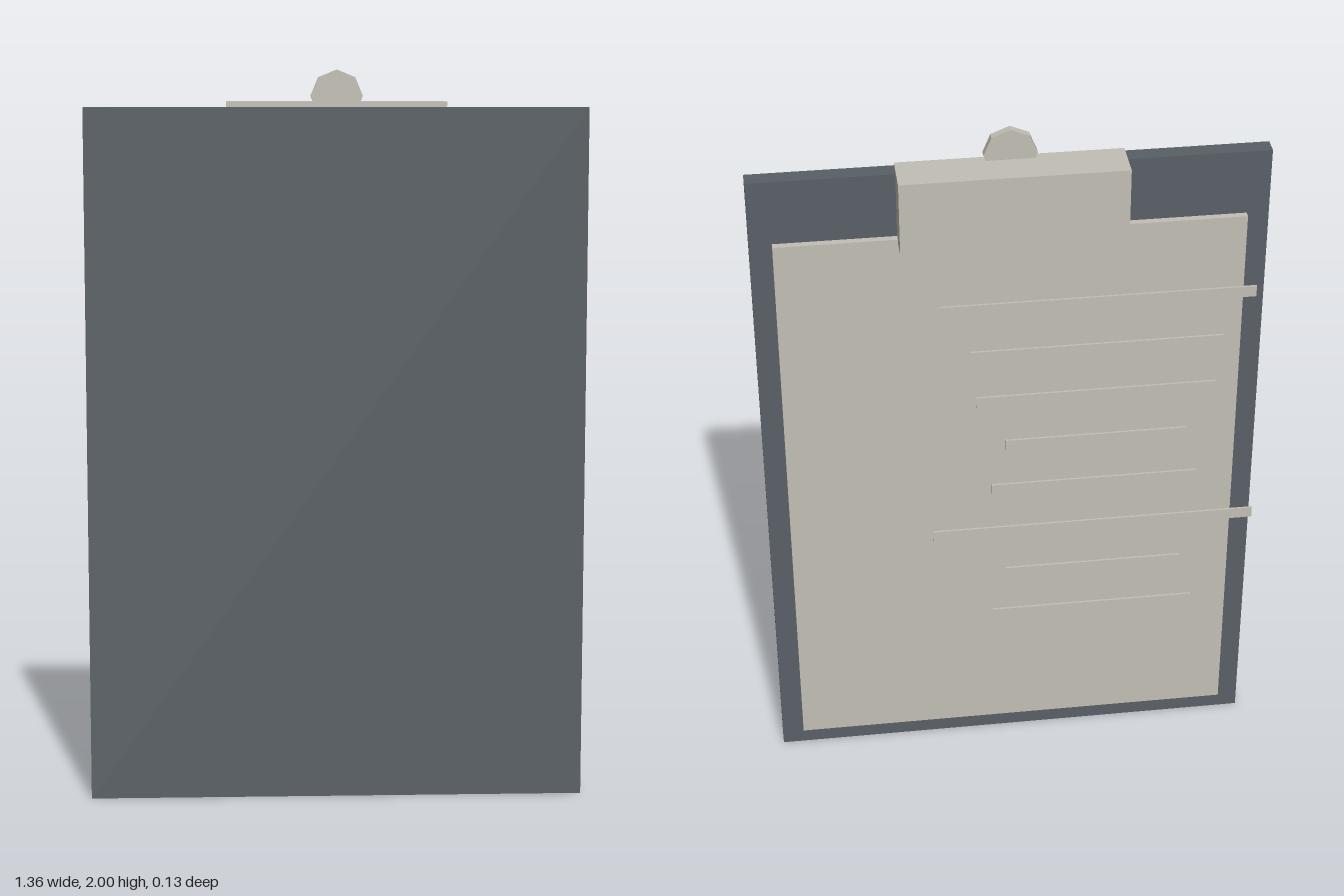
import * as THREE from 'three';

export function createModel() {
  const model = new THREE.Group();
  model.name = 'clipboard';

  const slate = new THREE.MeshStandardMaterial({ color: 0x596066 });
  slate.name = 'slate';
  const paleGrey = new THREE.MeshStandardMaterial({ color: 0xc2bfb5 });
  paleGrey.name = 'paleGrey';

  const add = (name, geometry, material) => {
    const mesh = new THREE.Mesh(geometry, material);
    mesh.name = name;
    model.add(mesh);
    return mesh;
  };

  // Box given by its lower and upper limits on each axis
  const box = (name, material, [x0, x1], [y0, y1], [z0, z1]) =>
    add(name, new THREE.BoxGeometry(x1 - x0, y1 - y0, z1 - z0), material)
      .position.set((x0 + x1) / 2, (y0 + y1) / 2, (z0 + z1) / 2);

  // Backing board and the sheet on its rear side
  box('board', slate, [-0.68, 0.68], [0, 1.9], [0.0185, 0.065]);
  box('paper', paleGrey, [-0.62, 0.62], [0.06, 1.72], [-0.004, 0.015]);

  // Clip body straddling the top edge
  box('clip', paleGrey, [-0.297, 0.297], [1.71, 1.915], [-0.065, 0.052]);

  // Eight-sided hanging tab
  const tab = new THREE.CylinderGeometry(0.07, 0.07, 0.022, 8).toNonIndexed();
  tab.rotateX(Math.PI / 2);
  tab.computeVertexNormals();
  add('clipTab', tab, paleGrey).position.set(0, 1.93, 0.041);

  // Raised text lines, evenly spaced, all centred on the same x
  const halfLengths = [0.425, 0.343, 0.328, 0.25, 0.288, 0.453, 0.25, 0.288];
  halfLengths.forEach((half, i) => {
    const y = 1.49 - i * 0.1485;
    box('textLine' + (i + 1), paleGrey,
      [-0.23 - half, -0.23 + half], [y - 0.016, y + 0.016], [-0.01, -0.004]);
  });

  return model;
}
